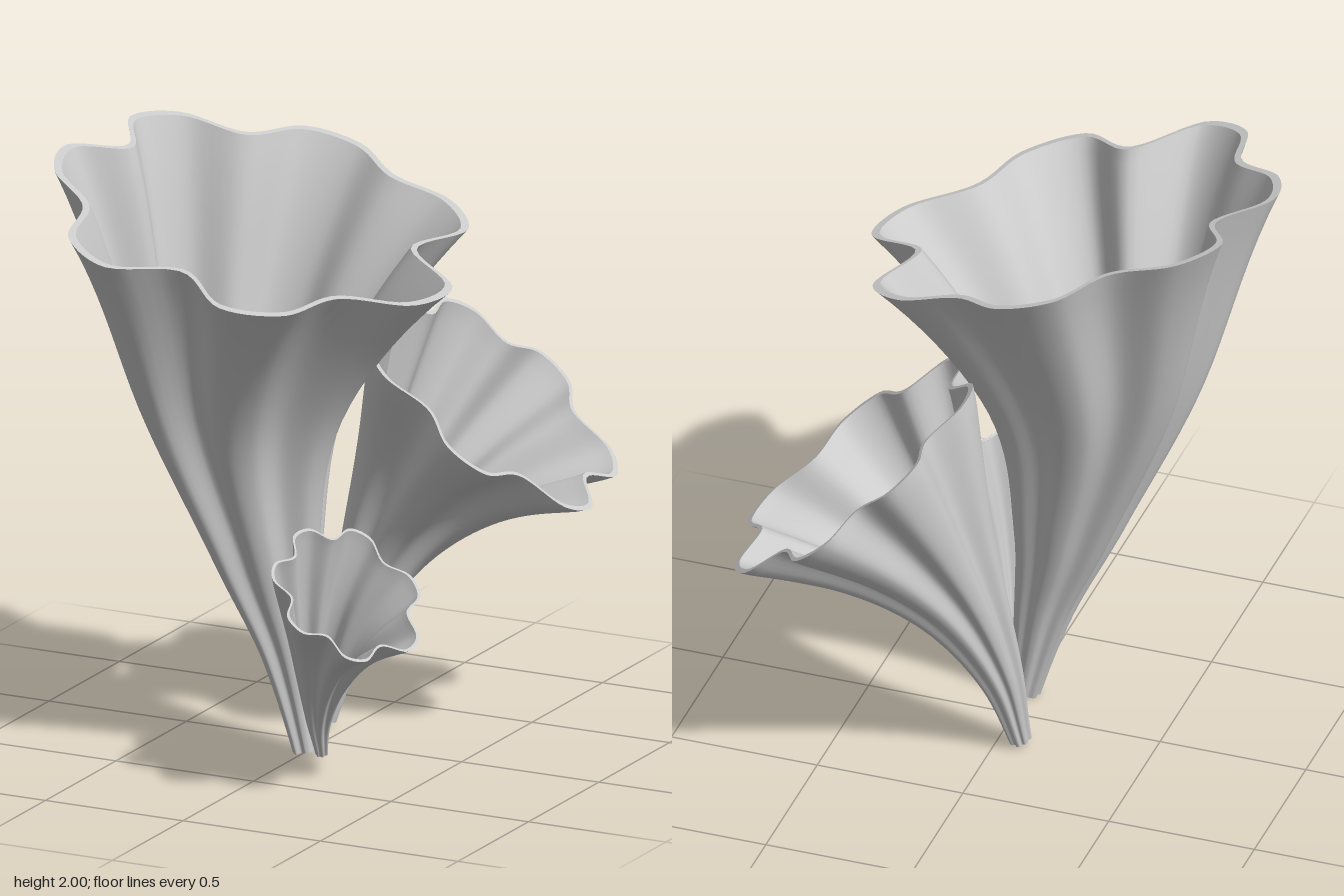
import * as THREE from 'three';

const SEG = 140;     // points around a cup
const ROWS = 36;     // rings along a cup
const WALL = 0.04;   // wall thickness relative to the radius
const STEM = 0.075;  // stem radius relative to the lip
const THROAT = 0.34; // where the hollow ends along the solid stem

// Smooth skin over a list of closed rings; the outside faces outward when rings run upward
function skin(name, rings, material) {
  const pos = [], index = [];
  rings.forEach((ring) => ring.forEach((p) => pos.push(p.x, p.y, p.z)));
  for (let r = 0; r < rings.length - 1; r++) {
    for (let i = 0; i < SEG; i++) {
      const a = r * SEG + i, b = r * SEG + (i + 1) % SEG;
      index.push(a, a + SEG, b, b, a + SEG, b + SEG);
    }
  }
  const geometry = new THREE.BufferGeometry();
  geometry.setAttribute('position', new THREE.Float32BufferAttribute(pos, 3));
  geometry.setIndex(index);
  geometry.computeVertexNormals();
  const mesh = new THREE.Mesh(geometry, material);
  mesh.name = name;
  return mesh;
}

// Lip outline around its centre: every lobe [x, z, valley] gets two shoulders and a valley
// on the way to the next lobe, then all points are dropped onto the plane facing the normal
function lipOutline(lobes, centre, normal) {
  const tips = lobes.map(([x, z]) => new THREE.Vector3(x - centre.x, 0, z - centre.z));
  const points = tips.flatMap((tip, i) => {
    const next = tips[(i + 1) % tips.length];
    const [, , valley = 0.88] = lobes[i];
    const between = (f, pull) => tip.clone().lerp(next, f).multiplyScalar(pull);
    return [between(0.17, 1.04), between(0.5, valley), between(0.83, 1.04)];
  });
  points.forEach((p) => { p.y = -(normal.x * p.x + normal.z * p.z) / normal.y; });
  return new THREE.CatmullRomCurve3(points, true).getPoints(SEG).slice(0, SEG);
}

// A fluted trumpet flaring exponentially along a curved stem; a larger belly is fuller midway
function trumpet(name, stem, belly, lipNormal, lobes, material) {
  const path = new THREE.CatmullRomCurve3(
    stem.map((p) => new THREE.Vector3(...p)), false, 'catmullrom');
  const n0 = path.getTangent(0), n1 = new THREE.Vector3(...lipNormal).normalize();
  const outline = lipOutline(lobes, path.getPoint(1), n1);

  // Outline shrunk and tilted to its place on the stem
  const ring = (t, shrink) => {
    const centre = path.getPoint(t), size = shrink * STEM ** ((1 - t) ** belly);
    const normal = n0.clone().lerp(n1, t).normalize();
    const turn = new THREE.Quaternion().setFromUnitVectors(n1, normal);
    return outline.map((p) => p.clone().applyQuaternion(turn).multiplyScalar(size).add(centre));
  };

  const outer = [], inner = [];
  for (let r = 0; r <= ROWS; r++) {
    const f = r / ROWS;
    outer.push(ring(f, 1));
    // The hollow follows the wall and closes to a point at the throat
    const close = Math.min(1, Math.sqrt(f / 0.3));
    inner.unshift(ring(THROAT + (1 - THROAT) * f, (1 - WALL) * close));
  }

  const group = new THREE.Group();
  group.name = name;
  group.add(
    skin('outerWall', outer, material),
    skin('lip', [outer[ROWS], inner[0]], material),
    skin('innerWall', inner, material),
    skin('stemEnd', [ring(0, 0), outer[0]], material),
  );
  return group;
}

export function createModel() {
  const model = new THREE.Group();
  model.name = 'trumpetCluster';
  const material = new THREE.MeshStandardMaterial({ color: 0xcccccc, side: THREE.DoubleSide });

  model.add(trumpet('largeTrumpet',
    [[0.01, 0.01, 0.13], [-0.05, 0.33, 0.14], [-0.13, 0.68, 0.16], [-0.205, 1.2, 0.185], [-0.12, 1.815, 0.2]],
    1, [0.265, 1, 0.1],
    [[-0.2, -0.475, 0.96], [0.345, -0.325, 0.81], [0.55, 0.24, 0.91], [0.15, 0.82, 0.82],
      [-0.43, 0.895, 0.93], [-0.78, 0.36, 0.86], [-0.69, -0.125, 0.9]], material));

  model.add(trumpet('mediumTrumpet',
    [[-0.08, 0.02, -0.165], [-0.03, 0.3, -0.225], [0.07, 0.6, -0.305], [0.22, 0.87, -0.37], [0.405, 1.112, -0.41]],
    1.15, [0.83, 1, -0.09],
    [[0.38, -0.905], [0.7, -0.72], [0.785, -0.3], [0.55, 0.07], [0.195, 0.035], [0.04, -0.32], [0.13, -0.71]],
    material));

  model.add(trumpet('smallTrumpet',
    [[0.1, 0.03, 0.21], [0.115, 0.16, 0.26], [0.16, 0.32, 0.325], [0.23, 0.5, 0.39], [0.32, 0.67, 0.45]],
    1.15, [0.85, 1, 0.36],
    [[0.45, 0.21], [0.54, 0.4], [0.44, 0.635], [0.26, 0.725], [0.135, 0.63], [0.13, 0.42], [0.25, 0.23]],
    material));

  return model;
}
